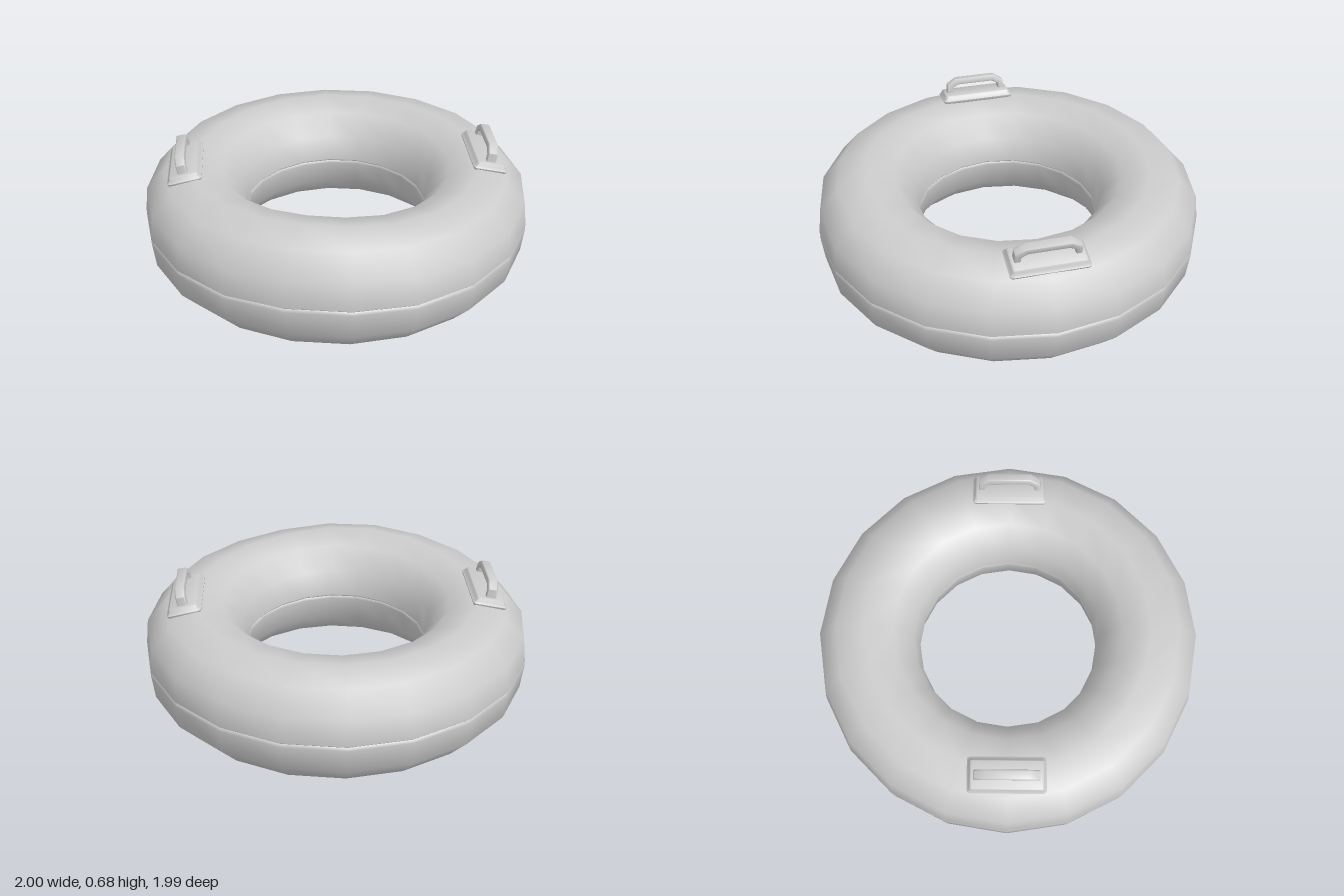
import * as THREE from 'three';
import { mergeVertices, toCreasedNormals } from 'three/addons/utils/BufferGeometryUtils.js';
import { RoundedBoxGeometry } from 'three/addons/geometries/RoundedBoxGeometry.js';

const SEAM = 0.29;

// Half of the inflated ring: side = 1 for the upper half, -1 for the lower
function halfRing(side) {
  // radius and height above the seam, from the outer notch over to the inner notch
  const profile = [
    [0.985, 0], [0.998, 0.012], [0.983, 0.14], [0.885, 0.25], [0.735, 0.287],
    [0.59, 0.25], [0.493, 0.14], [0.47, 0.012], [0.48, 0],
  ].map(([r, h]) => new THREE.Vector2(r, SEAM + side * h));
  if (side > 0) profile.reverse();
  // the lathe faces outward when the profile runs upward on its outer side
  const ordered = side > 0 ? profile.reverse() : profile.reverse();
  let geo = new THREE.LatheGeometry(ordered, 20);
  geo.deleteAttribute('uv');
  geo.deleteAttribute('normal');
  geo = mergeVertices(geo, 1e-4);
  // gentle bulge in the front of the ring
  const p = geo.attributes.position;
  for (let i = 0; i < p.count; i++) {
    const x = p.getX(i), y = p.getY(i), z = p.getZ(i);
    const k = Math.exp(-(((x + 0.18) / 0.45) ** 2)) * THREE.MathUtils.smoothstep(z, 0.1, 0.7);
    p.setY(i, y + 0.035 * k * y / 0.58);
    p.setZ(i, z - 0.01 * k);
  }
  orientOutward(geo);
  geo.computeVertexNormals();
  return geo;
}

// Turn the faces so that the ring's surface points away from the tube's core
function orientOutward(geo) {
  const p = geo.attributes.position, index = geo.index;
  const a = new THREE.Vector3(), b = new THREE.Vector3(), c = new THREE.Vector3();
  let sum = 0;
  for (let i = 0; i < index.count; i += 3) {
    a.fromBufferAttribute(p, index.getX(i));
    b.fromBufferAttribute(p, index.getX(i + 1));
    c.fromBufferAttribute(p, index.getX(i + 2));
    const mid = a.clone().add(b).add(c).divideScalar(3);
    const core = new THREE.Vector3(mid.x, 0, mid.z).setLength(0.735).setY(SEAM);
    const normal = b.sub(a).cross(c.sub(a));
    sum += normal.dot(mid.sub(core));
  }
  if (sum < 0) {
    for (let i = 0; i < index.count; i += 3) {
      const t = index.getX(i);
      index.setX(i, index.getX(i + 2));
      index.setX(i + 2, t);
    }
  }
}

// Soft patch that narrows slightly toward its top
function patchGeometry() {
  const geo = new RoundedBoxGeometry(0.178, 0.048, 0.39, 2, 0.018);
  const p = geo.attributes.position;
  for (let i = 0; i < p.count; i++) {
    if (p.getY(i) > 0.005) {
      p.setX(i, p.getX(i) * 0.86);
      p.setZ(i, p.getZ(i) * 0.95);
    }
  }
  geo.deleteAttribute('normal');
  geo.deleteAttribute('uv');
  return toCreasedNormals(geo, 0.9);
}

// Arched grip with sloping shoulders
function gripGeometry() {
  const outline = [
    [-0.158, 0.01], [-0.154, 0.065], [-0.108, 0.096], [0.108, 0.096], [0.154, 0.065], [0.158, 0.01],
    [0.138, 0.01], [0.134, 0.053], [0.1, 0.074], [-0.1, 0.074], [-0.134, 0.053], [-0.138, 0.01],
  ].map(([z, y]) => new THREE.Vector2(z, y));
  const geo = new THREE.ExtrudeGeometry(new THREE.Shape(outline), {
    depth: 0.036, bevelEnabled: true, bevelThickness: 0.007, bevelSize: 0.006, bevelSegments: 2,
  });
  geo.translate(0, 0, -0.018);
  geo.rotateY(Math.PI / 2);
  return toCreasedNormals(geo, 0.9);
}

export function createModel() {
  const rubber = new THREE.MeshStandardMaterial({ color: 0xcccccc });
  rubber.name = 'grey rubber';
  const model = new THREE.Group();
  model.name = 'swimRing';

  const add = (parent, geo, name) => {
    const mesh = new THREE.Mesh(geo, rubber);
    mesh.name = name;
    parent.add(mesh);
  };
  add(model, halfRing(1), 'upperRing');
  add(model, halfRing(-1), 'lowerRing');

  // One handle on each side, tilted with the slope of the ring
  const patch = patchGeometry(), grip = gripGeometry();
  for (const [name, turn] of [['left', 0], ['right', Math.PI]]) {
    const side = new THREE.Group();
    side.name = name + 'Handle';
    side.rotation.y = turn;
    const tilted = new THREE.Group();
    tilted.name = name + 'HandleMount';
    tilted.position.set(0.775, 0.575, 0);
    tilted.rotation.z = -0.21;
    add(tilted, patch, name + 'Patch');
    add(tilted, grip, name + 'Grip');
    side.add(tilted);
    model.add(side);
  }
  return model;
}
